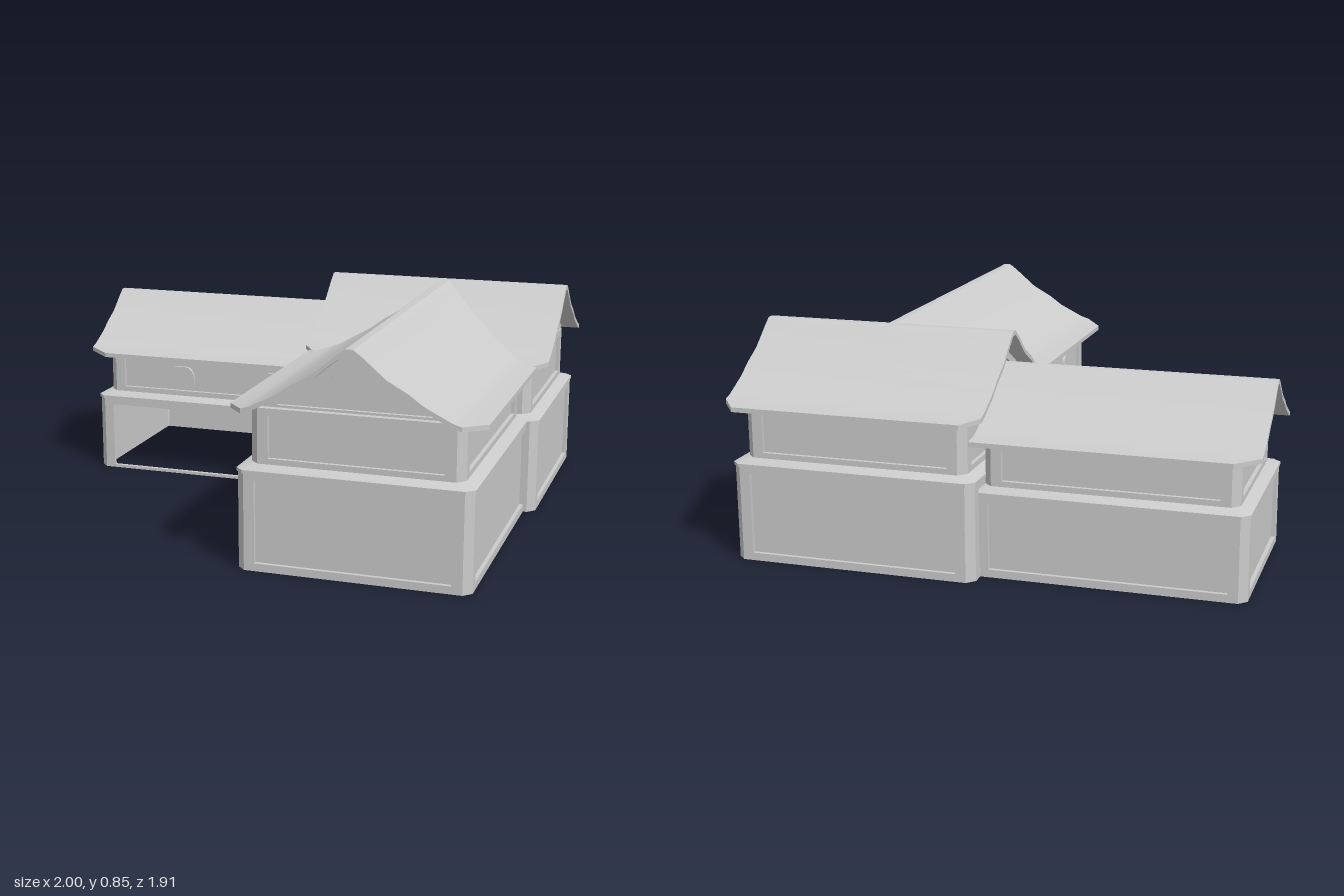
import * as THREE from 'three';
import { toCreasedNormals } from 'three/addons/utils/BufferGeometryUtils.js';

const material = new THREE.MeshStandardMaterial({ color: 0xcccccc, side: THREE.DoubleSide });
const CHAMFER = 0.03, DEPTH = 0.015;
const TURN = { south: 0, east: Math.PI / 2, north: Math.PI, west: -Math.PI / 2 };

function add(parent, name, geometry, x = 0, y = 0, z = 0) {
  const mesh = new THREE.Mesh(geometry, material);
  mesh.name = name;
  mesh.position.set(x, y, z);
  parent.add(mesh);
  return mesh;
}

const extrude = (shape, depth) =>
  new THREE.ExtrudeGeometry(shape, { depth, bevelEnabled: false, curveSegments: 8 });

// Closed cross-sections joined one after another
function loft(sections, capped) {
  const n = sections[0].length, index = [];
  for (let i = 0; i < sections.length - 1; i++) {
    for (let k = 0; k < n; k++) {
      const a = i * n + k, b = i * n + (k + 1) % n;
      index.push(a, a + n, b + n, a, b + n, b);
    }
  }
  if (capped) {
    const e = (sections.length - 1) * n;
    index.push(0, 1, 2, 0, 2, 3, e, e + 2, e + 1, e, e + 3, e + 2);
  }
  const g = new THREE.BufferGeometry();
  g.setAttribute('position', new THREE.Float32BufferAttribute(sections.flat(2), 3));
  g.setIndex(index);
  return toCreasedNormals(g, 0.35);
}

const rect = (x0, y0, x1, y1, Type = THREE.Shape) => new Type([
  [x0, y0], [x1, y0], [x1, y1], [x0, y1]].map(p => new THREE.Vector2(...p)));

// Arched outline standing on y = 0
function arch(w, h, rise, Type = THREE.Shape) {
  const s = new Type(), r = w / 2;
  s.moveTo(-r, 0);
  s.lineTo(r, 0);
  s.lineTo(r, h - rise);
  s.bezierCurveTo(r, h - rise * 0.4, r * 0.65, h, r * 0.4, h);
  s.lineTo(-r * 0.4, h);
  s.bezierCurveTo(-r * 0.65, h, -r, h - rise * 0.4, -r, h - rise);
  return s;
}

// Group on one side of a storey, with local +z pointing outwards
function sideGroup(parent, b, side) {
  const g = new THREE.Group(), cx = (b.x0 + b.x1) / 2, cz = (b.z0 + b.z1) / 2;
  g.name = side + 'Side';
  g.position.set(side === 'east' ? b.x1 : side === 'west' ? b.x0 : cx, 0,
    side === 'south' ? b.z1 : side === 'north' ? b.z0 : cz);
  g.rotation.y = TURN[side];
  parent.add(g);
  return g;
}

// One storey: framed walls with recessed panels and chamfered corner posts
function storey(parent, b, y0, y1, { open = [], windows = {}, margin = 0.03 }) {
  for (const side of Object.keys(TURN)) {
    const g = sideGroup(parent, b, side);
    const along = side === 'south' || side === 'north' ? b.x1 - b.x0 : b.z1 - b.z0;
    const h = along / 2 - CHAMFER;
    const isOpen = open.includes(side);
    const frame = rect(-h, y0, h, y1);
    frame.holes.push(rect(-h + 0.04, isOpen ? y0 + 0.012 : y0 + margin, h - 0.04, y1 - margin, THREE.Path));
    add(g, 'wallFrame', extrude(frame, DEPTH), 0, 0, -DEPTH);
    if (!isOpen) add(g, 'wallPanel', new THREE.BoxGeometry(2 * h, y1 - y0, 0.01), 0, (y0 + y1) / 2, -DEPTH - 0.005);
    for (const u of windows[side] || []) {
      add(g, 'window', extrude(arch(0.12, 0.08, 0.045), 0.016), u, y0 + 0.05, -DEPTH - 0.004);
    }
  }
  for (const [x, sx] of [[b.x0, 1], [b.x1, -1]]) {
    for (const [z, sz] of [[b.z0, 1], [b.z1, -1]]) {
      const c = CHAMFER, d = DEPTH + 0.01;
      const s = new THREE.Shape([[c, 0], [0, c], [d, c], [c, d]]
        .map(([p, q]) => new THREE.Vector2(x + sx * p, -(z + sz * q))));
      add(parent, 'cornerPost', extrude(s, y1 - y0).rotateX(-Math.PI / 2), 0, y0, 0);
    }
  }
}

// Chamfered rectangle, shrunk by an inset, at one height
function ring(b, inset, y) {
  const x0 = b.x0 + inset, x1 = b.x1 - inset, z0 = b.z0 + inset, z1 = b.z1 - inset, c = CHAMFER;
  return [[x1 - c, y, z1], [x0 + c, y, z1], [x0, y, z1 - c], [x0, y, z0 + c],
    [x0 + c, y, z0], [x1 - c, y, z0], [x1, y, z0 + c], [x1, y, z1 - c]];
}

// Half roof curve: [share of half width, share of rise]
const CURVE = [[0.03, 1], [0.1, 0.9], [0.28, 0.61], [0.45, 0.43], [0.56, 0.28], [0.77, 0.08], [0.84, 0.04], [1, 0]];
const PROFILE = [...CURVE.map(([d, r]) => [-d, r]).reverse(), ...CURVE];

// Sweeping gable roof along local x, corners cut off near the eaves
function roof(parent, r) {
  const g = new THREE.Group();
  g.name = 'roof';
  g.position.set(r.x, 0, r.z);
  g.rotation.y = r.turn || 0;
  parent.add(g);
  const sections = PROFILE.map(([d, k]) => {
    const cut = Math.max(0, (Math.abs(d) - 0.84) / 0.16), y = r.eave + k * r.rise, z = d * r.half;
    const a = r.from + cut * r.cutFrom, b = r.to - cut * r.cutTo;
    return [[a, y, z], [b, y, z], [b, y - 0.018, z], [a, y - 0.018, z]];
  });
  add(g, 'roofSlopes', loft(sections, true));

  // Gable walls with a raised trim following the roof curve
  const base = r.eave - 0.015;
  const outline = (scale, lift) => PROFILE.filter(([d]) => Math.abs(d) < 0.82).map(([d, k]) =>
    new THREE.Vector2(d * r.half * scale, base + lift + Math.max(0, k * r.rise - 0.003) * scale));
  for (const [u, dir] of r.gables) {
    const trim = new THREE.Shape(outline(1, 0));
    trim.holes.push(new THREE.Path(outline(0.8, 0.012)));
    const end = new THREE.Group();
    end.name = 'gable';
    end.position.x = u;
    end.rotation.y = dir * Math.PI / 2;
    g.add(end);
    add(end, 'gableWall', extrude(new THREE.Shape(outline(1, 0)), 0.01), 0, 0, -0.025);
    add(end, 'gableTrim', extrude(trim, DEPTH), 0, 0, -DEPTH);
  }
}

// Lower storey, sloping ledge, set-back upper storey
function wing(parent, name, b, ledge, top, options) {
  const g = new THREE.Group();
  g.name = name;
  parent.add(g);
  const set = 0.04;
  const upper = { x0: b.x0 + set, x1: b.x1 - set, z0: b.z0 + set, z1: b.z1 - set };
  storey(g, b, 0, ledge, { open: options.open });
  add(g, 'ledge', loft([ring(b, 0.01, ledge - 0.005), ring(b, -0.004, ledge - 0.005), ring(b, -0.004, ledge + 0.008),
    ring(b, set + 0.012, ledge + 0.028)], false));
  storey(g, upper, ledge + 0.02, top, { windows: options.windows, margin: 0.025 });
  roof(g, options.roof);
  return g;
}

export function createModel() {
  const model = new THREE.Group();
  model.name = 'house';

  wing(model, 'mainBlock', { x0: 0.02, x1: 0.97, z0: -0.92, z1: -0.06 }, 0.37, 0.6, {
    roof: { x: 0.5, z: -0.49, from: -0.505, to: 0.5, cutFrom: 0.06, cutTo: 0.06, half: 0.47,
      eave: 0.605, rise: 0.248, gables: [[0.43, 1], [-0.44, -1]] },
  });

  const front = wing(model, 'frontWing', { x0: 0.06, x1: 0.925, z0: -0.13, z1: 0.915 }, 0.37, 0.6, {
    windows: { west: [-0.11, 0.24] },
    roof: { x: 0.492, z: 0, turn: -Math.PI / 2, from: -0.48, to: 0.955, cutFrom: 0, cutTo: 0.1, half: 0.47,
      eave: 0.604, rise: 0.248, gables: [[0.87, 1]] },
  });

  wing(model, 'sideWing', { x0: -0.965, x1: 0.06, z0: -0.84, z1: -0.11 }, 0.315, 0.515, {
    open: ['south'],
    windows: { south: [-0.14, 0.29] },
    roof: { x: 0, z: -0.475, from: -1, to: 0.05, cutFrom: 0.09, cutTo: 0, half: 0.397,
      eave: 0.52, rise: 0.21, gables: [[-0.92, -1]] },
  });

  // Arched doorway and step on the courtyard face
  const door = new THREE.Group();
  door.name = 'door';
  door.position.set(0.06, 0, 0.6);
  door.rotation.y = -Math.PI / 2;
  front.add(door);
  const surround = arch(0.25, 0.3, 0.09);
  surround.holes.push(arch(0.19, 0.265, 0.08, THREE.Path));
  add(door, 'doorFrame', extrude(surround, 0.04), 0, 0, -0.02);
  add(door, 'doorLeaf', extrude(arch(0.2, 0.27, 0.08), 0.018), 0, 0, -0.018);
  add(door, 'doorHandle', new THREE.BoxGeometry(0.012, 0.06, 0.012), 0.06, 0.16, 0.006);
  add(door, 'doorStep', new THREE.BoxGeometry(0.29, 0.008, 0.06), 0, 0.004, 0.01);
  return model;
}
